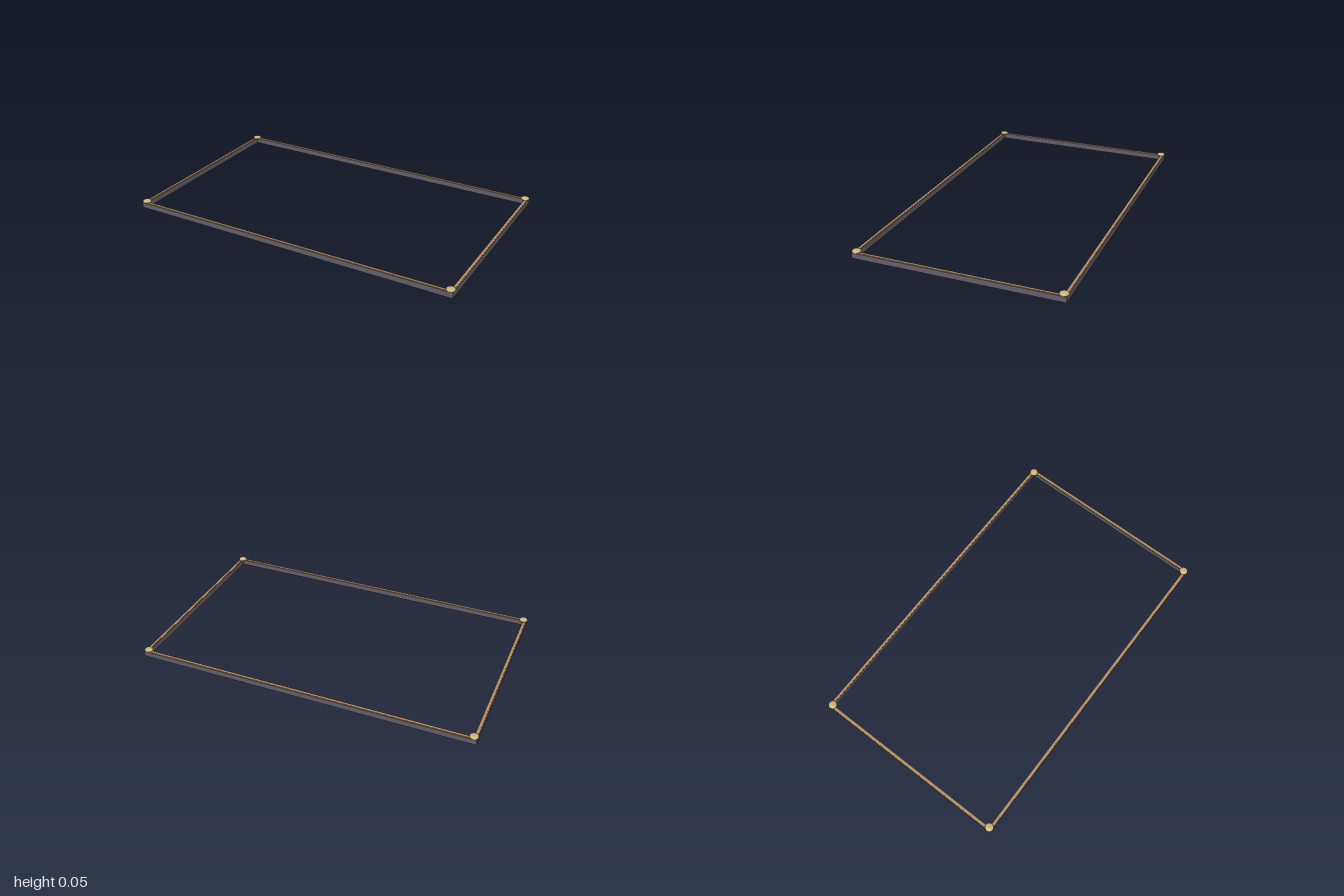
import * as THREE from 'three';

const HX = 0.995, HZ = 0.596; // outer half sizes of the frame
const BAR = 0.023, TOP = 0.032;

// Flat rectangular ring: outer half sizes, bar width, bottom and top heights
function ring(hx, hz, width, y0, y1) {
  const rect = (Type, x, z) => new Type([[-x, -z], [x, -z], [x, z], [-x, z]].map(p => new THREE.Vector2(...p)));
  const shape = rect(THREE.Shape, hx, hz);
  shape.holes.push(rect(THREE.Path, hx - width, hz - width));
  const geo = new THREE.ExtrudeGeometry(shape, { depth: y1 - y0, bevelEnabled: false });
  return geo.rotateX(-Math.PI / 2).translate(0, y0, 0);
}

export function createModel() {
  const group = new THREE.Group();
  const add = (name, geo, color) => {
    const mesh = new THREE.Mesh(geo, new THREE.MeshStandardMaterial({ color }));
    mesh.name = name;
    group.add(mesh);
    return mesh;
  };

  // Dark border with a thin gilded strip along its top
  add('frame', ring(HX, HZ, BAR, 0, TOP), 0x625d68);
  const inset = 0.006;
  add('trimStrip', ring(HX - inset, HZ - inset, BAR - 2 * inset, TOP - 0.004, TOP + 0.002), 0xc0904f);

  // Flattened brass studs on the four corners
  const stud = new THREE.SphereGeometry(0.025, 20, 12).scale(1, 0.46, 1);
  for (const x of [-1, 1]) for (const z of [-1, 1]) {
    const name = (z > 0 ? 'front' : 'back') + (x > 0 ? 'Left' : 'Right') + 'Stud';
    add(name, stud, 0xc9b474).position.set(x * 0.975, 0.038, z * 0.576);
  }
  return group;
}
